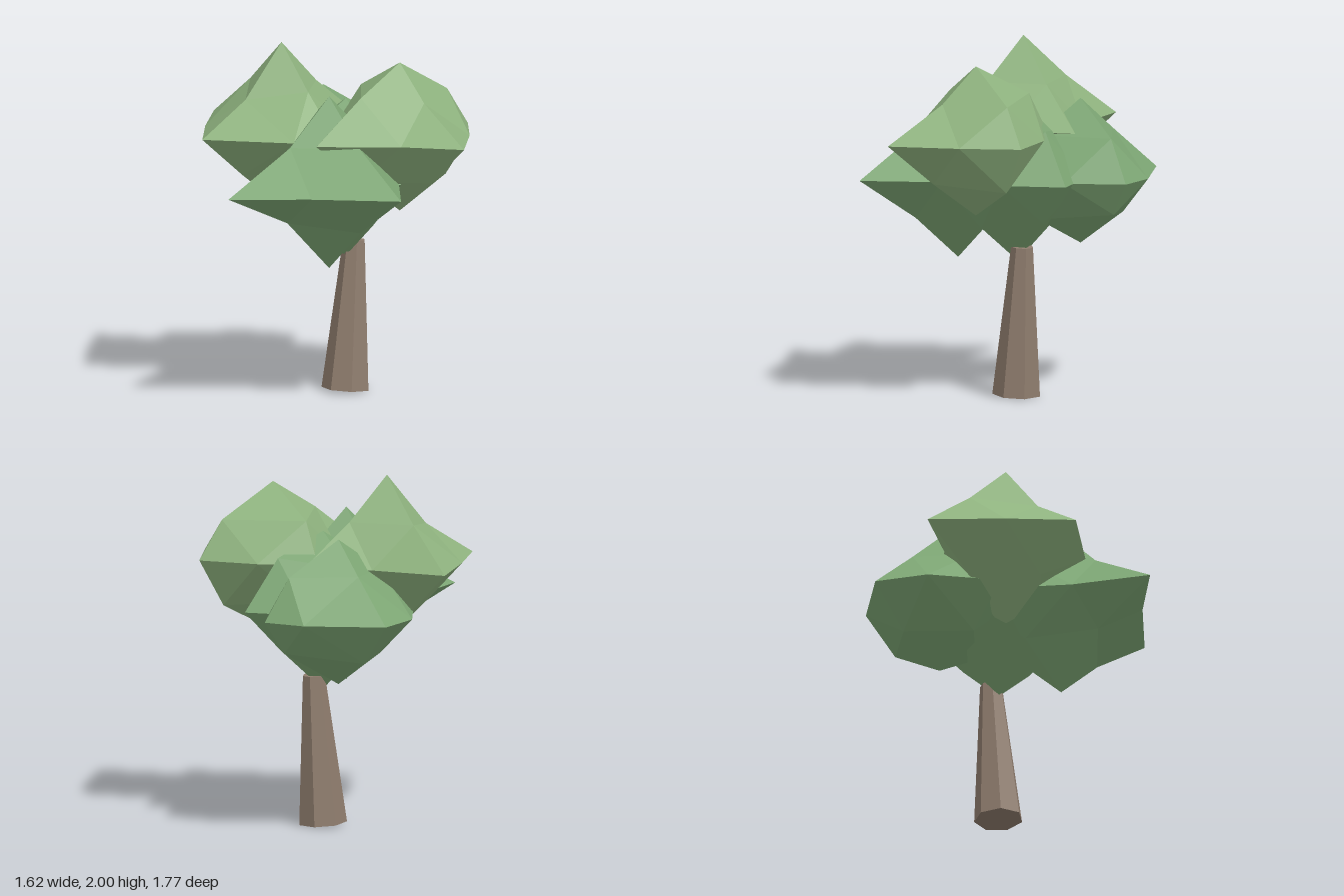
import * as THREE from 'three';

const LIGHT = 0x8fb37f;
const DARK = 0x7da674;

// Usual reach of the points between the tips, along each axis
const REACH = { x: 0.28, y: 0.24, z: 0.28 };

// Leaf clumps: centre, tip distances [plus, minus] per axis, and the few
// in-between points that bulge differently from the usual reach
const clumps = [
  {
    name: 'frontUpperLeaves', color: LIGHT, centre: [0.32, 1.51, 0.3],
    x: [0.49, 0.6], y: [0.41, 0.44], z: [0.58, 0.47],
    bulges: {
      '+x+y': { x: 0.34, y: 0.22 }, '+x-y': { x: 0.33, y: 0.27 }, '+y+z': { y: 0.21, z: 0.22 },
      '+y-z': { y: 0.23, z: 0.35 }, '-x+z': { x: 0.23, z: 0.3 },
    },
  },
  {
    name: 'backUpperLeaves', color: LIGHT, centre: [-0.085, 1.51, -0.26],
    x: [0.56, 0.57], y: [0.49, 0.45], z: [0.5, 0.61],
    bulges: {
      '-x+y': { x: 0.26, y: 0.19 }, '-x+z': { x: 0.23, z: 0.4 }, '-x-z': { x: 0.31, z: 0.3 },
      '+x+y': { x: 0.25, y: 0.24 }, '+y+z': { y: 0.24, z: 0.24 }, '+x-z': { x: 0.25, z: 0.24 },
    },
  },
  {
    name: 'frontLowerLeaves', color: DARK, centre: [-0.085, 1.255, 0.17],
    x: [0.5, 0.725], y: [0.5, 0.485], z: [0.65, 0.5],
    bulges: {
      '-x-y': { x: 0.3, y: 0.19 }, '-x+z': { x: 0.36, z: 0.29 }, '-x-z': { x: 0.33, z: 0.23 },
    },
  },
  {
    name: 'backLowerLeaves', color: DARK, centre: [0.32, 1.255, -0.39],
    x: [0.49, 0.5], y: [0.43, 0.395], z: [0.5, 0.5],
    bulges: {
      '+x+y': { x: 0.33, y: 0.24 }, '+x-y': { x: 0.36, y: 0.19 }, '+y-z': { y: 0.245, z: 0.21 },
      '-x-z': { x: 0.27, z: 0.35 }, '+x-z': { x: 0.37, z: 0.22 },
    },
  },
  {
    name: 'middleLeaves', color: DARK, centre: [0.205, 1.255, -0.045],
    x: [0.52, 0.5], y: [0.42, 0.485], z: [0.5, 0.5],
    bulges: { '+x+y': { x: 0.3, y: 0.29 }, '-y+z': { y: 0.28, z: 0.24 } },
  },
];

function flatMesh(name, geometry, color) {
  const mesh = new THREE.Mesh(geometry, new THREE.MeshStandardMaterial({ color, flatShading: true }));
  mesh.name = name;
  return mesh;
}

// Once-divided octahedron: tips move along their axis, points between within their plane
function leafClump(clump) {
  const geometry = new THREE.OctahedronGeometry(1, 1);
  const position = geometry.attributes.position;
  const point = new THREE.Vector3();
  for (let i = 0; i < position.count; i++) {
    point.fromBufferAttribute(position, i);
    const axes = ['x', 'y', 'z'].filter((a) => Math.abs(point[a]) > 0.01);
    const key = axes.map((a) => (point[a] > 0 ? '+' : '-') + a).join('');
    const reach = clump.bulges[key] ?? REACH;
    for (const a of axes) {
      const tip = clump[a][point[a] > 0 ? 0 : 1];
      point[a] = Math.sign(point[a]) * (axes.length === 1 ? tip : reach[a]);
    }
    position.setXYZ(i, point.x, point.y, point.z);
  }
  geometry.computeVertexNormals();
  const mesh = flatMesh(clump.name, geometry, clump.color);
  mesh.position.set(...clump.centre);
  return mesh;
}

export function createModel() {
  const tree = new THREE.Group();
  tree.name = 'tree';

  // Seven-sided tapered trunk, leaning slightly to the side
  const height = 0.85;
  const trunkGeometry = new THREE.CylinderGeometry(0.064, 0.139, height, 7, 1, false, Math.PI);
  trunkGeometry.translate(0, height / 2, 0);
  const trunk = flatMesh('trunk', trunkGeometry, 0x8f7d6e);
  trunk.position.set(0.205, 0.01, -0.04);
  trunk.rotation.z = -0.07;
  tree.add(trunk);

  // Overlapping leaf clumps
  for (const clump of clumps) tree.add(leafClump(clump));
  return tree;
}
